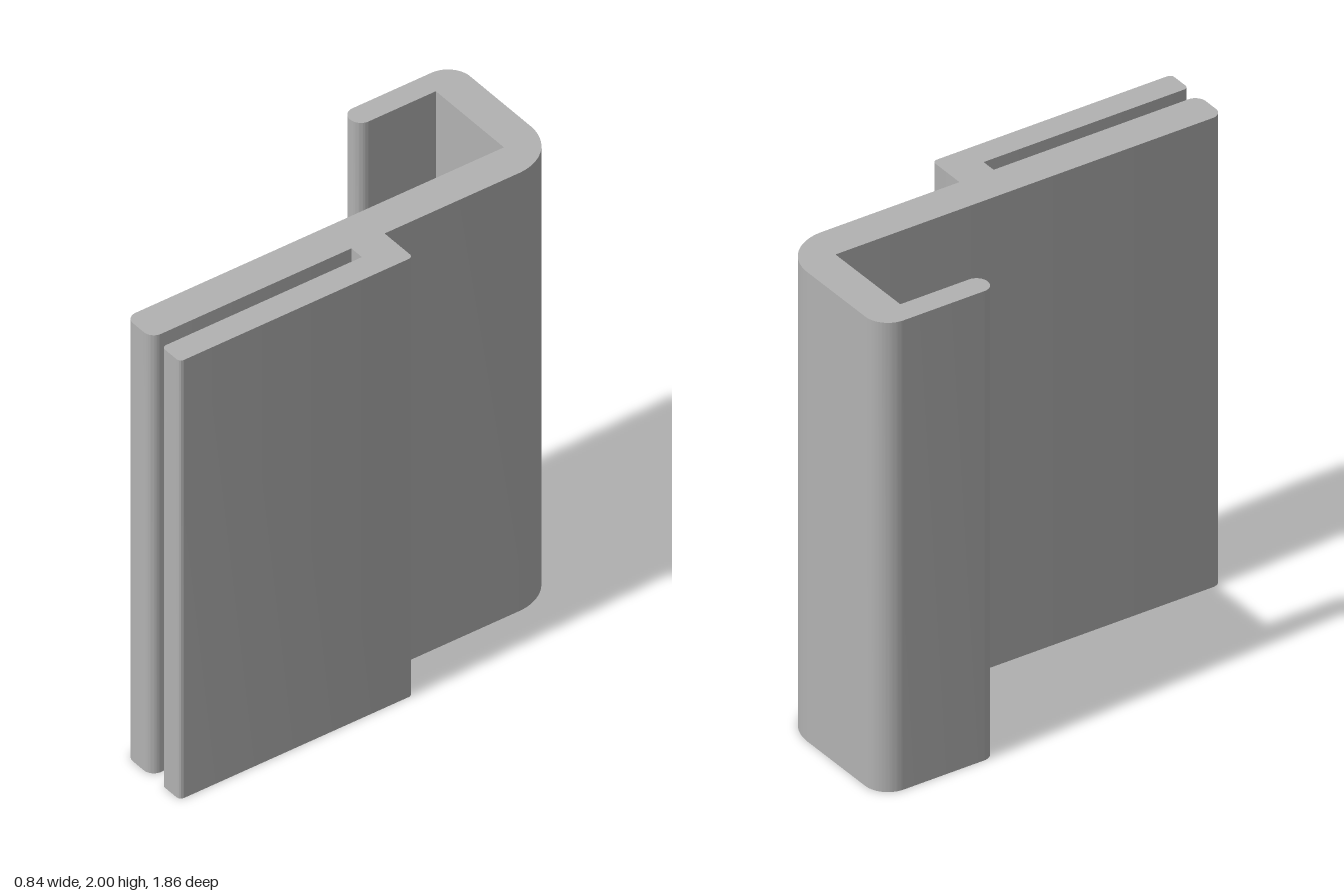
import * as THREE from 'three';
import { toCreasedNormals } from 'three/addons/utils/BufferGeometryUtils.js';

// Closed outline from [x, z, cornerRadius] corners, each rounded by a true arc.
function roundedOutline(corners) {
  const pts = corners.map(([x, z]) => new THREE.Vector2(x, -z));
  const n = pts.length;
  const shape = new THREE.Shape();
  for (let i = 0; i < n; i++) {
    const p = pts[i], r = corners[i][2];
    const dIn = p.clone().sub(pts[(i + n - 1) % n]).normalize();
    const dOut = pts[(i + 1) % n].clone().sub(p).normalize();
    const start = p.clone().addScaledVector(dIn, -r);
    if (i === 0) shape.moveTo(start.x, start.y);
    else shape.lineTo(start.x, start.y);
    if (r > 0) {
      const c = start.clone().addScaledVector(dOut, r);
      const end = p.clone().addScaledVector(dOut, r);
      shape.absarc(c.x, c.y, r,
        Math.atan2(start.y - c.y, start.x - c.x),
        Math.atan2(end.y - c.y, end.x - c.x),
        dIn.cross(dOut) < 0);
    }
  }
  shape.closePath();
  return shape;
}

export function createModel() {
  const group = new THREE.Group();
  group.name = 'hookClip';
  const grey = new THREE.MeshStandardMaterial({ color: 0xb2b2b2 });
  grey.name = 'grey';

  const profile = roundedOutline([
    // over-hook, outer side
    [-0.423, -0.928, 0.1], [0.246, -0.928, 0.2],
    // outer clip arm and its slot
    [0.246, -0.123, 0], [0.42, -0.123, 0.02], [0.42, 0.928, 0.02],
    [0.31, 0.928, 0.02], [0.31, 0.027, 0], [0.246, 0.027, 0],
    // main plate end
    [0.246, 0.928, 0.045], [0.09, 0.928, 0.045],
    // over-hook, inner side and rounded lip
    [0.09, -0.775, 0], [-0.325, -0.775, 0],
    [-0.325, -0.425, 0.048], [-0.423, -0.425, 0.048],
  ]);

  // Extrude upwards, with smooth rounds and sharp edges
  const geometry = new THREE.ExtrudeGeometry(profile, { depth: 2, bevelEnabled: false, curveSegments: 12 });
  geometry.rotateX(-Math.PI / 2);
  const body = new THREE.Mesh(toCreasedNormals(geometry, Math.PI / 6), grey);
  body.name = 'hookAndClipBody';
  group.add(body);
  return group;
}
